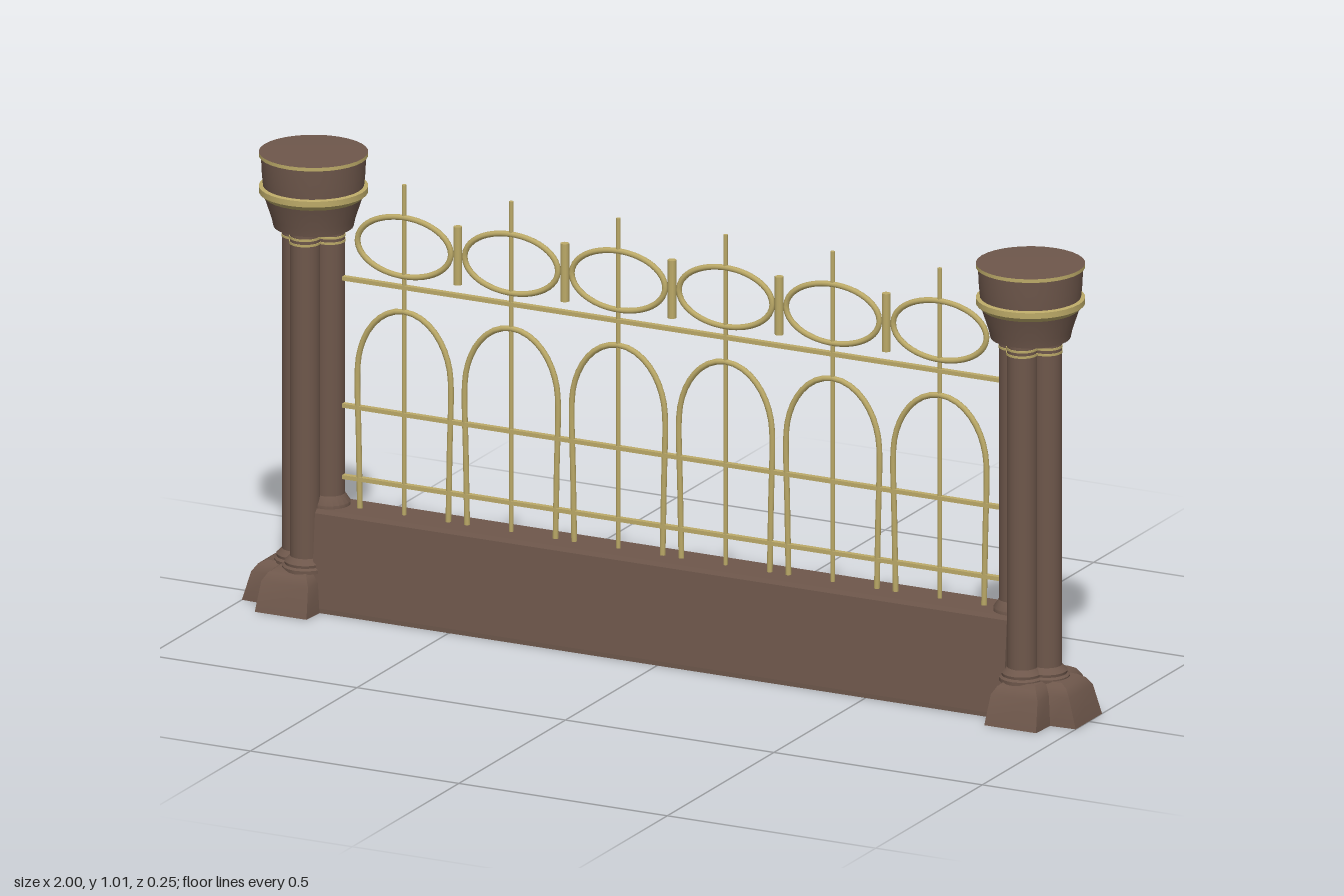
import * as THREE from 'three';
import { toCreasedNormals } from 'three/addons/utils/BufferGeometryUtils.js';

const brown = new THREE.MeshStandardMaterial({ color: 0x6e574b });
brown.name = 'brown stone';
const gold = new THREE.MeshStandardMaterial({ color: 0xbcaa68 });
gold.name = 'pale gold';

function add(parent, name, geometry, material, x = 0, y = 0, z = 0) {
  const mesh = new THREE.Mesh(geometry, material);
  mesh.name = name;
  mesh.position.set(x, y, z);
  parent.add(mesh);
  return mesh;
}

// Turned part from [radius, y] pairs, listed bottom to top
function turned(points, sides) {
  const g = new THREE.LatheGeometry(points.map(p => new THREE.Vector2(p[0], p[1])), sides);
  return toCreasedNormals(g, 0.6);
}

// Cross-shaped outline: arm length l, arm half-width w
function crossOutline(l, w) {
  const out = [];
  for (let i = 0; i < 4; i++) {
    const c = Math.round(Math.cos(i * Math.PI / 2)), s = Math.round(Math.sin(i * Math.PI / 2));
    for (const [a, b] of [[l, -w], [l, w], [w * 1.06, w * 1.06]]) out.push([a * c - b * s, a * s + b * c]);
  }
  return out;
}

// Tapered cross foot built from stacked outlines
function footGeometry() {
  const sections = [[0, 0.125, 0.062], [0.065, 0.106, 0.056], [0.082, 0.094, 0.046], [0.09, 0.078, 0.036]];
  const pos = [], index = [], n = 12;
  for (const [y, l, w] of sections) for (const [x, z] of crossOutline(l, w)) pos.push(x, y, z);
  for (let k = 0; k < sections.length - 1; k++) {
    for (let i = 0; i < n; i++) {
      const a = k * n + i, b = k * n + (i + 1) % n;
      index.push(a, a + n, b, b, a + n, b + n);
    }
  }
  // Bottom and top fans
  const bottom = pos.length / 3, top = bottom + 1, last = (sections.length - 1) * n;
  pos.push(0, 0, 0, 0, 0.09, 0);
  for (let i = 0; i < n; i++) {
    const j = (i + 1) % n;
    index.push(bottom, i, j, top, last + j, last + i);
  }
  const g = new THREE.BufferGeometry();
  g.setAttribute('position', new THREE.Float32BufferAttribute(pos, 3));
  g.setIndex(index);
  return toCreasedNormals(g, 0.5);
}

function makePost() {
  const post = new THREE.Group();
  add(post, 'foot', footGeometry(), brown, 0.015);

  // Cluster of four shafts with moulded bases and thin gold bands
  const shaft = new THREE.CylinderGeometry(0.033, 0.033, 0.77, 20);
  const moulding = turned([[0.05, 0.085], [0.05, 0.093], [0.044, 0.097], [0.045, 0.103], [0.033, 0.115]], 20);
  const band = new THREE.CylinderGeometry(0.0345, 0.0345, 0.005, 20);
  for (let i = 0; i < 4; i++) {
    const x = 0.039 * Math.cos(i * Math.PI / 2), z = 0.039 * Math.sin(i * Math.PI / 2);
    add(post, 'shaft', shaft, brown, x, 0.47, z);
    add(post, 'shaftMoulding', moulding, brown, x, 0, z);
    for (const y of [0.817, 0.829]) add(post, 'shaftBand', band, gold, x, y, z);
  }
  add(post, 'shaftCore', new THREE.BoxGeometry(0.06, 0.76, 0.06), brown, 0, 0.465, 0);
  // Moulding where the inner shaft meets the plinth
  add(post, 'plinthMoulding', turned([[0.045, 0.22], [0.045, 0.232], [0.033, 0.25]], 20), brown, -0.039);

  // Capital
  add(post, 'capitalBell', turned([[0, 0.843], [0.086, 0.843], [0.09, 0.862], [0.106, 0.91]], 32), brown);
  add(post, 'capitalRing', turned([[0.104, 0.907], [0.117, 0.919], [0.117, 0.932], [0.108, 0.934]], 32), gold);
  add(post, 'capitalDrum', turned([[0.108, 0.93], [0.111, 0.96], [0.113, 1.0]], 32), brown);
  add(post, 'capitalRim', turned([[0.112, 0.998], [0.117, 1.0], [0.117, 1.008]], 32), gold);
  add(post, 'capitalTop', turned([[0.117, 1.008], [0, 1.009]], 32), brown);
  return post;
}

function makePlinth() {
  const s = new THREE.Shape([[-0.07, 0], [0.07, 0], [0.07, 0.01], [0.052, 0.216], [0.047, 0.225],
    [-0.047, 0.225], [-0.052, 0.216], [-0.07, 0.01]].map(p => new THREE.Vector2(p[0], p[1])));
  const g = new THREE.ExtrudeGeometry(s, { depth: 1.66, bevelEnabled: false });
  return g.translate(0, 0, -0.83).rotateY(Math.PI / 2);
}

// Arch with straight legs and an elliptical crown
function archGeometry() {
  const pts = [new THREE.Vector3(-0.106, 0.22, 0), new THREE.Vector3(-0.109, 0.38, 0)];
  for (let i = 0; i <= 12; i++) {
    const a = Math.PI * (1 - i / 12);
    pts.push(new THREE.Vector3(0.112 * Math.cos(a), 0.53 + 0.15 * Math.sin(a), 0));
  }
  pts.push(new THREE.Vector3(0.109, 0.38, 0), new THREE.Vector3(0.106, 0.22, 0));
  return new THREE.TubeGeometry(new THREE.CatmullRomCurve3(pts), 48, 0.0065, 8);
}

function ovalGeometry() {
  const pts = [];
  for (let i = 0; i < 24; i++) {
    const a = i * Math.PI / 12;
    pts.push(new THREE.Vector3(0.112 * Math.cos(a), 0.825 + 0.066 * Math.sin(a), 0));
  }
  return new THREE.TubeGeometry(new THREE.CatmullRomCurve3(pts, true), 48, 0.0065, 8, true);
}

export function createModel() {
  const model = new THREE.Group();
  model.name = 'fence';

  // Mirrored end posts
  for (const side of [1, -1]) {
    const post = makePost();
    post.name = side > 0 ? 'leftPost' : 'rightPost';
    post.position.x = side * 0.86;
    if (side < 0) post.rotation.y = Math.PI;
    model.add(post);
  }
  add(model, 'plinth', makePlinth(), brown);

  // Metal railing
  const railing = new THREE.Group();
  railing.name = 'railing';
  model.add(railing);
  const rail = new THREE.BoxGeometry(1.6, 0.009, 0.012);
  for (const y of [0.29, 0.45, 0.735]) add(railing, 'rail', rail, gold, 0, y);

  const arch = archGeometry(), oval = ovalGeometry();
  const upright = new THREE.CylinderGeometry(0.005, 0.005, 0.745, 8);
  const link = new THREE.CylinderGeometry(0.0095, 0.0095, 0.13, 10);
  const pitch = 0.257;
  for (let i = 0; i < 6; i++) {
    const x = (i - 2.5) * pitch;
    add(railing, 'arch', arch, gold, x);
    add(railing, 'oval', oval, gold, x);
    add(railing, 'upright', upright, gold, x, 0.5925);
    if (i < 5) add(railing, 'link', link, gold, x + pitch / 2, 0.825);
  }
  return model;
}
